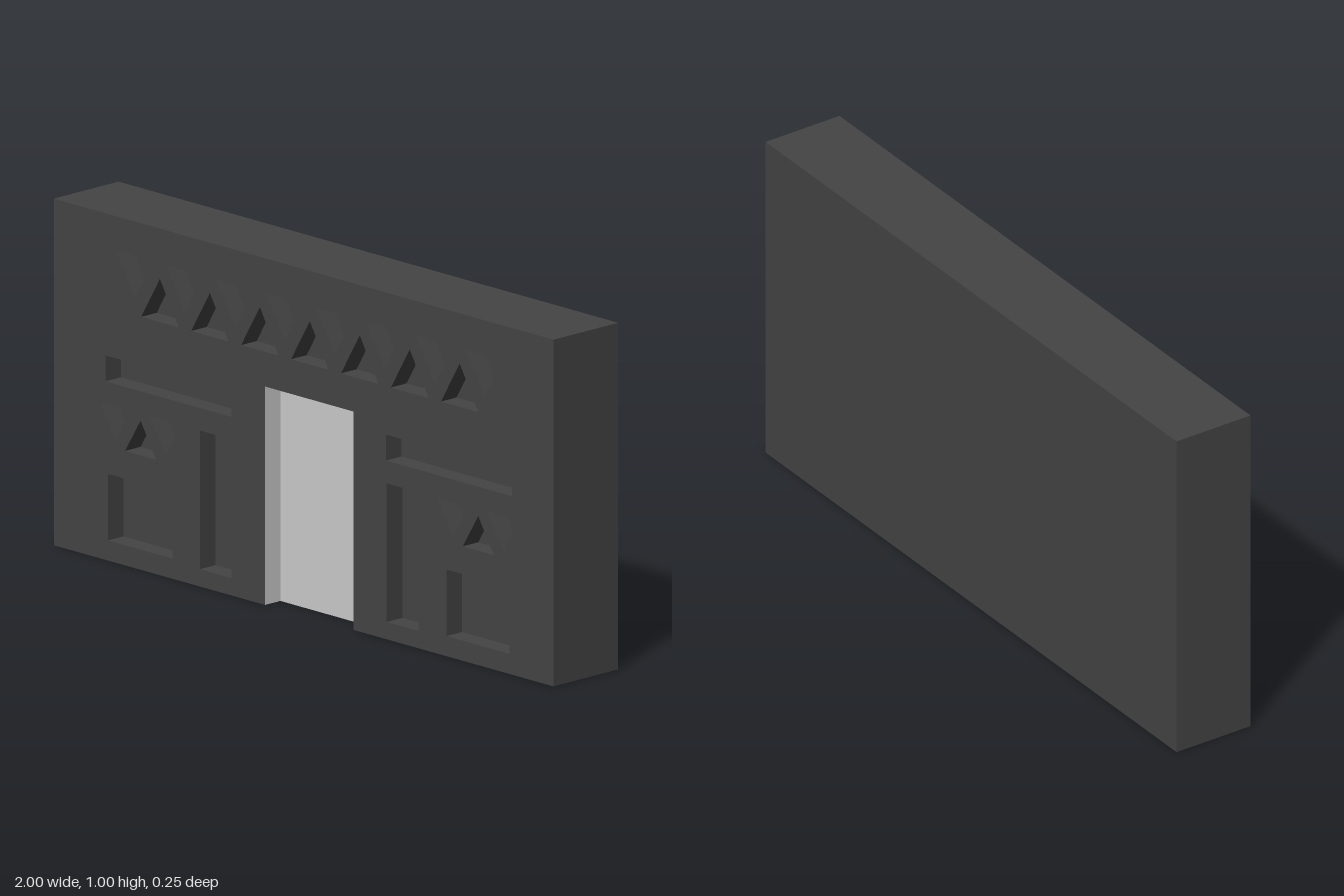
import * as THREE from 'three';

const FRONT = 0.125, BACK = -0.125, RECESS = 0.06;
const DOOR = { x0: -0.155, x1: 0.2, top: 0.63 };

const path = (points) => new THREE.Path(points.map(([x, y]) => new THREE.Vector2(x, y)));
const rect = (x0, x1, y0, y1) => path([[x0, y0], [x0, y1], [x1, y1], [x1, y0]]);
// Triangle with a level side at y; a negative rise points it down.
const triangle = (x, y, width, rise) => path([[x, y], [x + width / 2, y + rise], [x + width, y]]);

export function createModel() {
  const model = new THREE.Group();
  model.name = 'wallWithDoorway';
  const dark = new THREE.MeshStandardMaterial({ color: 0x444444, flatShading: true });
  const light = new THREE.MeshStandardMaterial({ color: 0xcccccc, flatShading: true });

  const add = (name, geometry, material, x = 0, y = 0, z = 0) => {
    const mesh = new THREE.Mesh(geometry, material);
    mesh.name = name;
    mesh.position.set(x, y, z);
    model.add(mesh);
    return mesh;
  };

  // Solid rear of the wall
  const floorZ = FRONT - RECESS;
  add('wallBack', new THREE.BoxGeometry(2, 1, floorZ - BACK), dark, 0, 0.5, (floorZ + BACK) / 2);

  // Front layer, notched at the bottom for the doorway
  const face = new THREE.Shape([
    [-1, 0], [DOOR.x0, 0], [DOOR.x0, DOOR.top], [DOOR.x1, DOOR.top],
    [DOOR.x1, 0], [1, 0], [1, 1], [-1, 1],
  ].map(([x, y]) => new THREE.Vector2(x, y)));

  // Frieze of alternating triangles
  for (let i = 0; i < 8; i++) face.holes.push(triangle(-0.75 + i * 0.2, 0.9, 0.15, -0.122));
  for (let i = 0; i < 7; i++) face.holes.push(triangle(-0.65 + i * 0.2, 0.73, 0.15, 0.125));

  // Recessed panels on both sides of the doorway
  face.holes.push(
    rect(-0.793, -0.288, 0.515, 0.59), rect(0.33, 0.835, 0.515, 0.59),
    rect(-0.415, -0.288, 0.05, 0.45), rect(0.333, 0.46, 0.05, 0.45),
    rect(-0.783, -0.525, 0.058, 0.25), rect(0.572, 0.824, 0.058, 0.25),
  );
  for (const x of [-0.815, 0.537]) {
    face.holes.push(
      triangle(x, 0.45, 0.125, -0.1),
      triangle(x + 0.1, 0.33, 0.125, 0.1),
      triangle(x + 0.2, 0.45, 0.125, -0.1),
    );
  }
  add('wallFront', new THREE.ExtrudeGeometry(face, { depth: RECESS, bevelEnabled: false }),
    dark, 0, 0, floorZ);

  // Pale door panel and lining of the opening
  const gap = 0.001, width = DOOR.x1 - DOOR.x0, midX = (DOOR.x0 + DOOR.x1) / 2;
  const midZ = floorZ + RECESS / 2;
  add('doorPanel', new THREE.PlaneGeometry(width, DOOR.top), light, midX, DOOR.top / 2, floorZ + gap);
  for (const [name, x, turn] of [['rightJamb', DOOR.x0 + gap, 1], ['leftJamb', DOOR.x1 - gap, -1]]) {
    add(name, new THREE.PlaneGeometry(RECESS, DOOR.top), light, x, DOOR.top / 2, midZ)
      .rotation.y = turn * Math.PI / 2;
  }
  add('lintel', new THREE.PlaneGeometry(width, RECESS), light, midX, DOOR.top - gap, midZ)
    .rotation.x = Math.PI / 2;

  return model;
}
